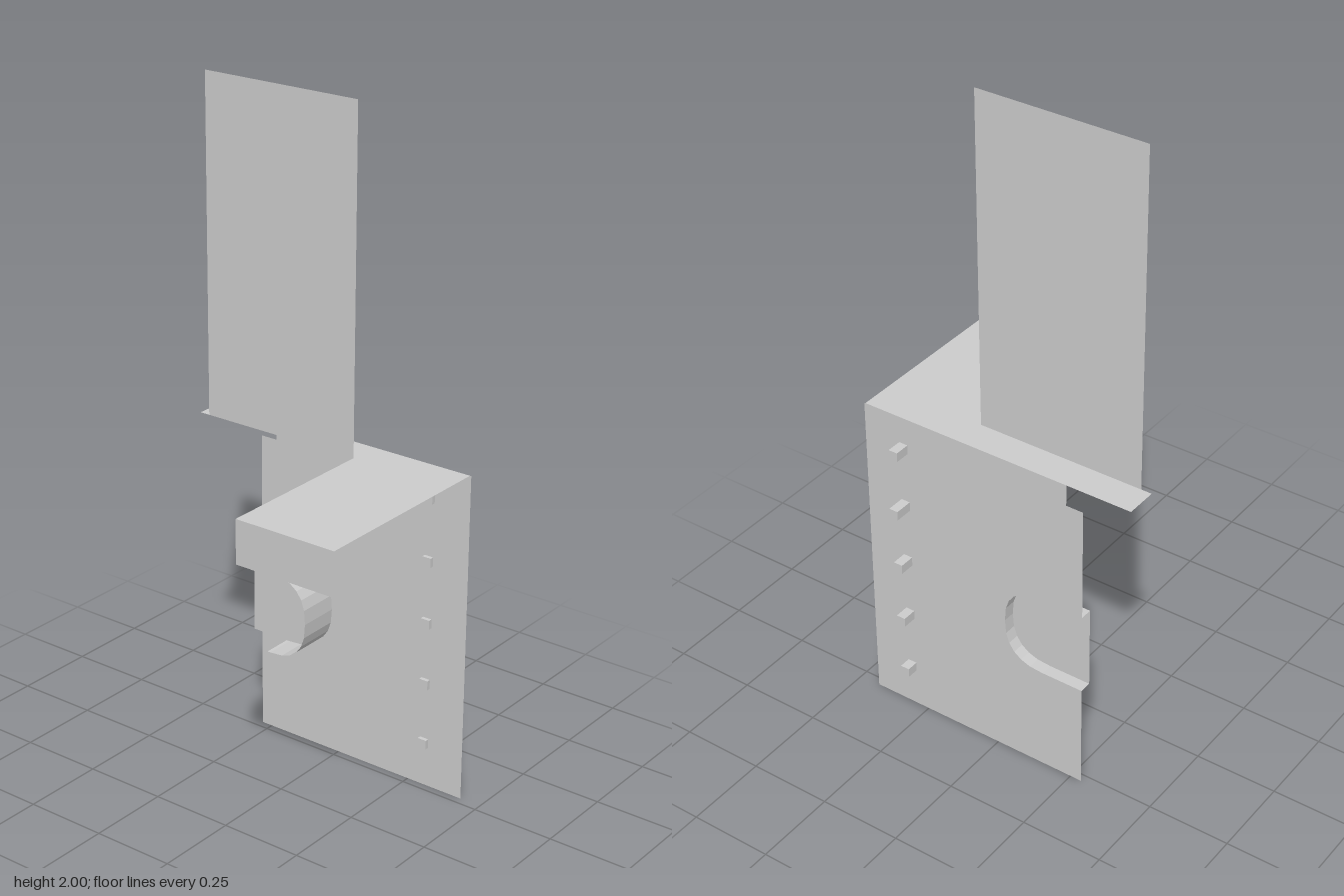
import * as THREE from 'three';

const grey = new THREE.MeshStandardMaterial({ color: 0xcccccc, side: THREE.DoubleSide, flatShading: true });

export function createModel() {
  const model = new THREE.Group();
  const add = (name, geometry, x = 0, y = 0, z = 0) => {
    const mesh = new THREE.Mesh(geometry, grey);
    mesh.name = name;
    mesh.position.set(x, y, z);
    model.add(mesh);
    return mesh;
  };

  // Flat sheet facing sideways, drawn with u = -z to the right and y up
  const sideSheet = (name, points, x) =>
    add(name, new THREE.ShapeGeometry(new THREE.Shape(points)).rotateY(Math.PI / 2), x);

  // Horizontal sheet, drawn with x to the right and -z up
  const levelSheet = (name, points, y) =>
    add(name, new THREE.ShapeGeometry(new THREE.Shape(points)).rotateX(-Math.PI / 2), 0, y);

  // Thin wall that sweeps an open (u, y) outline from x0 to x1
  const wall = (name, points, x0, x1) => {
    const position = [];
    const index = [];
    points.forEach((p, i) => {
      position.push(x0, p.y, -p.x, x1, p.y, -p.x);
      if (i > 0) {
        const k = 2 * i;
        index.push(k - 2, k, k - 1, k - 1, k, k + 1);
      }
    });
    const geometry = new THREE.BufferGeometry();
    geometry.setAttribute('position', new THREE.Float32BufferAttribute(position, 3));
    geometry.setIndex(index);
    geometry.computeVertexNormals();
    add(name, geometry);
  };

  const v = (x, y) => new THREE.Vector2(x, y);
  const plateX = 0.274, capX = 0.237, collarX = 0.147, edge = 0.285;

  // Squarish U outline of the recess, from its top end round to its bottom end
  const arc = [];
  for (let i = 0; i <= 12; i++) {
    const a = Math.PI / 2 - (i / 12) * Math.PI;
    const c = Math.max(0, Math.cos(a)), s = Math.sin(a);
    arc.push(v(0.155 - 0.126 * c ** 0.8, 0.458 + 0.128 * Math.sign(s) * Math.abs(s) ** 0.8));
  }
  const outline = (end) => [v(end, 0.586), ...arc, v(end, 0.33)];

  // Main plate with the recess cut in and a notch at its top corner
  sideSheet('mainPlate', [
    v(-0.434, 0), v(edge, 0), ...outline(edge).reverse(),
    v(edge, 0.935), v(0.232, 0.935), v(0.232, 1), v(-0.434, 1),
  ], plateX);

  // Recess: side wall, back and the collar behind it
  wall('recessWall', outline(edge), plateX, capX);
  sideSheet('recessBack', outline(edge), capX);
  wall('recessCollar', outline(0.165), capX, collarX);

  // L-shaped top flange, its hanging lip and the tall panel
  levelSheet('topFlange', [
    v(-0.332, -0.43), v(plateX, -0.43), v(plateX, 0.432),
    v(0.178, 0.432), v(0.178, -0.112), v(-0.332, -0.112),
  ], 1);
  sideSheet('hangingLip', [v(-0.43, 0.87), v(-0.112, 0.87), v(-0.112, 1), v(-0.43, 1)], -0.332);
  sideSheet('tallPanel', [v(-0.112, 1), v(0.4, 1), v(0.4, 2), v(-0.112, 2)], 0.178);

  // Row of pegs through the front part of the plate
  [0.31, 0.318, 0.32, 0.329, 0.32].forEach((tip, i) => {
    const back = 0.262;
    add('peg', new THREE.BoxGeometry(tip - back, 0.028, 0.028),
      (tip + back) / 2, 0.138 + 0.191 * i, 0.304);
  });

  return model;
}
